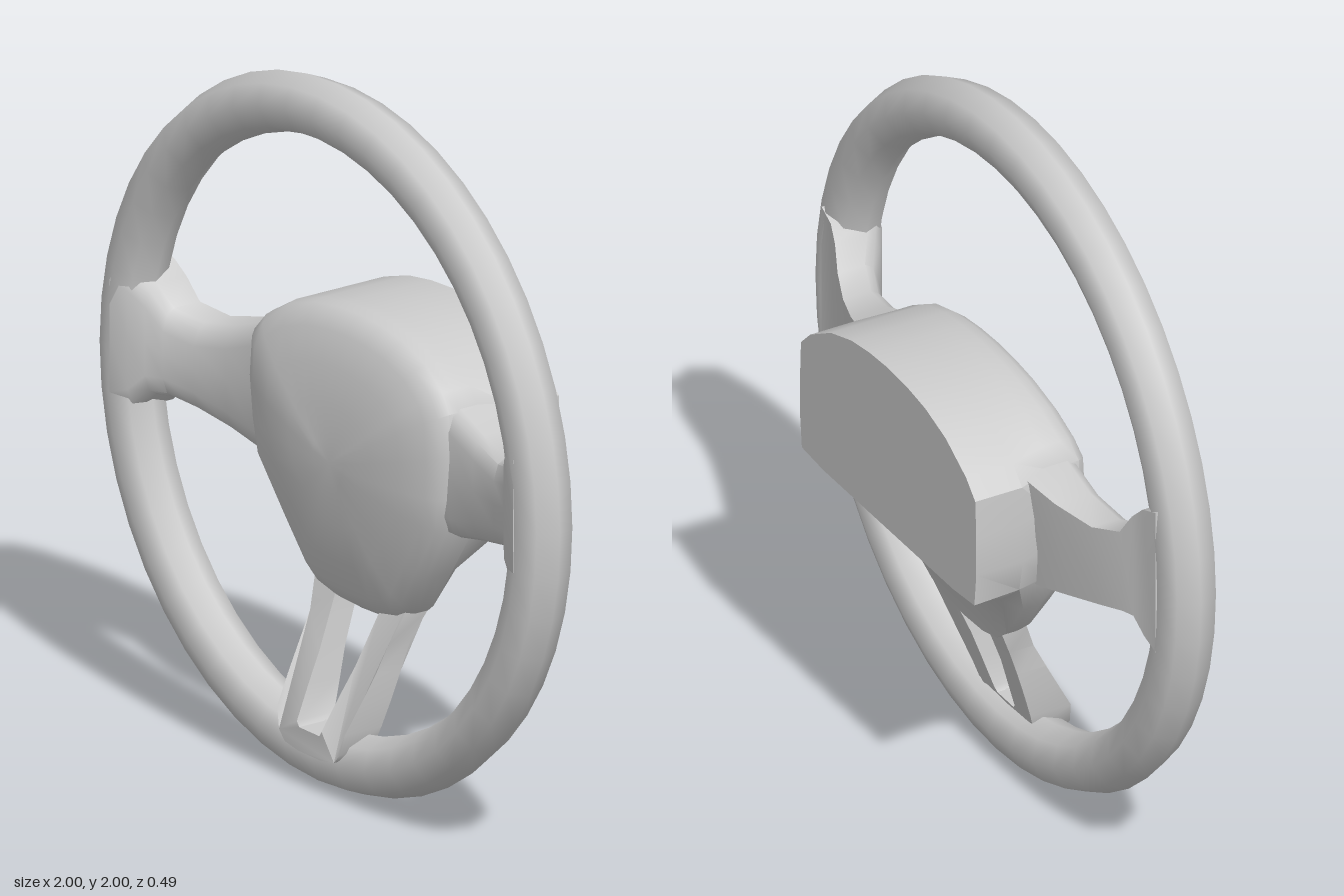
import * as THREE from 'three';
import { toCreasedNormals } from 'three/addons/utils/BufferGeometryUtils.js';

const material = new THREE.MeshStandardMaterial({ color: 0xcccccc });

function part(name, geometry) {
  const mesh = new THREE.Mesh(geometry, material);
  mesh.name = name;
  return mesh;
}

// Skin a list of equal-length rings and close both ends with fans
function loft(rings, crease) {
  const n = rings[0].length;
  const pos = rings.flat(2);
  const index = [];
  for (let r = 0; r < rings.length - 1; r++) {
    for (let i = 0; i < n; i++) {
      const a = r * n + i, b = r * n + (i + 1) % n;
      index.push(a, b, b + n, a, b + n, a + n);
    }
  }
  const cap = (r, flip) => {
    const c = pos.length / 3;
    for (let k = 0; k < 3; k++) pos.push(rings[r].reduce((s, p) => s + p[k], 0) / n);
    for (let i = 0; i < n; i++) {
      const a = r * n + i, b = r * n + (i + 1) % n;
      index.push(c, flip ? b : a, flip ? a : b);
    }
  };
  cap(0, true);
  cap(rings.length - 1, false);
  const g = new THREE.BufferGeometry();
  g.setAttribute('position', new THREE.Float32BufferAttribute(pos, 3));
  g.setIndex(index);
  return toCreasedNormals(g, crease);
}

// Piecewise linear lookup in [[key, value], ...]
function lerpTable(table, t) {
  for (let i = 1; i < table.length; i++) {
    const [k0, v0] = table[i - 1], [k1, v1] = table[i];
    if (t <= k1) return v0 + (v1 - v0) * Math.max(0, (t - k0) / (k1 - k0));
  }
  return table[table.length - 1][1];
}

// Half outline, top centre to bottom centre, mirrored into a full ring
function mirrorRing(half, z) {
  const left = half.map(([x, y]) => [-x, y, z(y)]);
  const right = half.slice(1, -1).reverse().map(([x, y]) => [x, y, z(y)]);
  return [...left, ...right];
}

function hub() {
  const top = [[0, 1.33], [0.1, 1.325], [0.2, 1.31], [0.31, 1.275]];
  const back = [...top, [0.42, 1.21], [0.47, 1.16], [0.475, 1.05], [0.475, 0.93], [0.465, 0.83],
    [0.35, 0.82], [0.25, 0.82], [0.18, 0.82], [0.09, 0.82], [0, 0.82]];
  const middle = [...top, [0.42, 1.21], [0.47, 1.16], [0.475, 1.05], [0.475, 0.93], [0.455, 0.83],
    [0.36, 0.75], [0.27, 0.71], [0.19, 0.7], [0.1, 0.695], [0, 0.69]];
  const front = [...top, [0.4, 1.22], [0.44, 1.17], [0.45, 1.05], [0.44, 0.92], [0.42, 0.82],
    [0.31, 0.66], [0.225, 0.54], [0.175, 0.5], [0.1, 0.482], [0, 0.478]];
  const edge = (y) => lerpTable([[0.47, 0.03], [0.8, 0.06], [1.15, 0.07], [1.33, 0.04]], y);
  const rings = [
    mirrorRing(back, () => -0.245),
    mirrorRing(middle, () => -0.1),
    mirrorRing(front, (y) => lerpTable([[0.47, -0.01], [0.8, 0]], y)),
    mirrorRing(front, edge),
  ];
  // Domed front pad
  for (const [s, rise] of [[0.985, 0.03], [0.94, 0.055], [0.86, 0.075], [0.65, 0.1], [0.4, 0.115], [0.15, 0.12]]) {
    rings.push(mirrorRing(front, edge).map(([x, y, z]) =>
      [x * s, 0.92 + (y - 0.92) * s, 0.055 + (z - 0.055) * s + rise]));
  }
  return loft(rings, 0.7);
}

function sideSpoke(side) {
  // x, bottom, top, back at top, back at bottom, front
  const sections = [
    [0.36, 0.81, 1.2, -0.11, -0.05, 0.1],
    [0.44, 0.812, 1.175, -0.085, -0.03, 0.1],
    [0.55, 0.835, 1.135, -0.045, -0.005, 0.105],
    [0.67, 0.86, 1.112, 0, 0.025, 0.125],
    [0.76, 0.882, 1.135, 0.035, 0.045, 0.16],
    [0.8, 0.885, 1.2, 0.05, 0.055, 0.19],
    [0.84, 0.84, 1.24, 0.06, 0.065, 0.218],
    [0.9, 0.82, 1.26, 0.066, 0.066, 0.233],
  ];
  const rings = sections.map(([x, yb, yt, zt, zb, zf]) => {
    const ring = [
      [yt, zt], [yt, zf - 0.04], [yt - 0.015, zf - 0.015], [yt - 0.06, zf], [(yt + yb) / 2, zf],
      [yb + 0.06, zf], [yb + 0.015, zf - 0.015], [yb, zf - 0.04], [yb, zb],
    ].map(([y, z]) => [side * x, y, z]);
    return side > 0 ? ring : ring.reverse();
  });
  return loft(rings, 0.8);
}

function lowerSpoke() {
  const closed = (half) => [
    ...half.map(([x, y]) => new THREE.Vector2(x, y)),
    ...half.slice().reverse().map(([x, y]) => new THREE.Vector2(-x, y)),
  ];
  const shape = new THREE.Shape(closed([
    [0.05, 0.102], [0.11, 0.112], [0.135, 0.14], [0.15, 0.2], [0.162, 0.28], [0.17, 0.36], [0.175, 0.44], [0.2, 0.52], [0.2, 0.57],
  ]));
  shape.holes.push(new THREE.Path(closed([
    [0.045, 0.17], [0.055, 0.185], [0.068, 0.28], [0.08, 0.36], [0.09, 0.44], [0.1, 0.52], [0.1, 0.55],
  ])));
  const g = new THREE.ExtrudeGeometry(shape, { depth: 1, bevelEnabled: false });
  // Sweep the frame back from the rim face towards the hub
  const frontZ = [[0.1, 0.24], [0.19, 0.24], [0.28, 0.19], [0.36, 0.145], [0.44, 0.105], [0.57, 0.05]];
  const backZ = [[0.1, 0.14], [0.2, 0.11], [0.36, 0.058], [0.44, 0.03], [0.57, -0.03]];
  const p = g.attributes.position;
  for (let i = 0; i < p.count; i++) {
    p.setZ(i, lerpTable(p.getZ(i) > 0.5 ? frontZ : backZ, p.getY(i)));
  }
  return toCreasedNormals(g, 0.6);
}

export function createModel() {
  const model = new THREE.Group();
  model.name = 'steeringWheel';

  // Grip ring
  const rim = part('rim', new THREE.TorusGeometry(0.915, 0.085, 8, 48));
  rim.position.set(0, 1, 0.15);
  model.add(rim);

  // Centre pad with rear housing
  model.add(part('hub', hub()));

  // Spokes
  model.add(part('leftSpoke', sideSpoke(1)));
  model.add(part('rightSpoke', sideSpoke(-1)));
  model.add(part('lowerSpoke', lowerSpoke()));
  return model;
}
